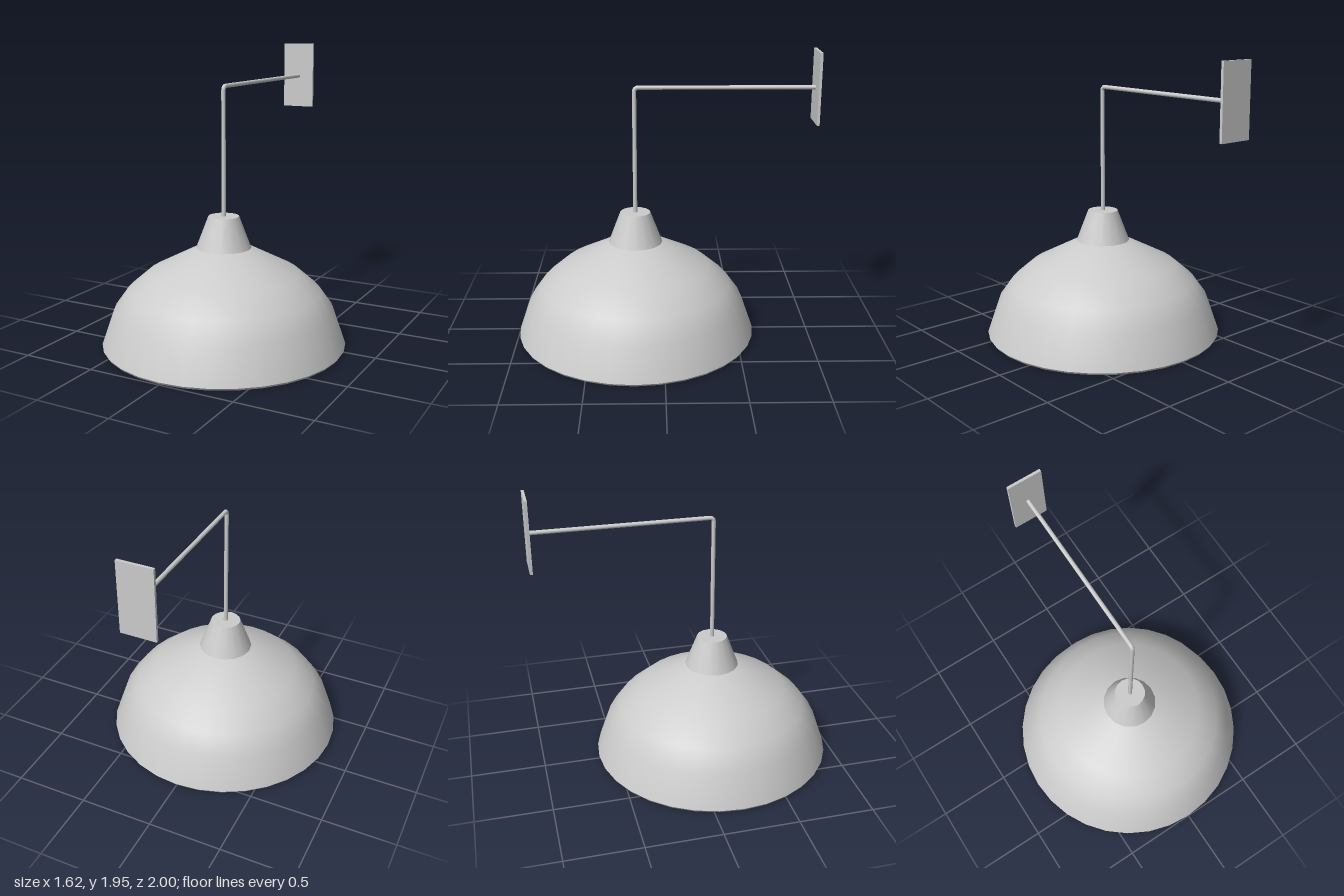
import * as THREE from 'three';

const SHADE_Z = 0.19; // axis of the hanging shade
const ROD_Y = 1.71;   // height of the horizontal arm
const ROD_R = 0.014;
const BEND = 0.025;

export function createModel() {
  const model = new THREE.Group();
  const grey = new THREE.MeshStandardMaterial({ color: 0xcccccc });

  const add = (parent, name, geometry, x = 0, y = 0, z = 0) => {
    const mesh = new THREE.Mesh(geometry, grey);
    mesh.name = name;
    mesh.position.set(x, y, z);
    parent.add(mesh);
    return mesh;
  };
  const lathe = (points, sides) =>
    new THREE.LatheGeometry(points.map(([r, y]) => new THREE.Vector2(r, y)), sides);

  // Shade: outer skin, rolled lip and inner skin
  const shade = new THREE.Group();
  shade.name = 'shade';
  shade.position.z = SHADE_Z;
  model.add(shade);
  add(shade, 'shadeOuter', lathe(
    [[0.81, 0.015], [0.73, 0.245], [0.64, 0.37], [0.5, 0.49], [0.18, 0.655], [0, 0.655]], 32));
  add(shade, 'shadeLip', lathe([[0.78, 0], [0.8, 0], [0.81, 0.015]], 32));
  add(shade, 'shadeInner', lathe(
    [[0, 0.632], [0.17, 0.632], [0.485, 0.47], [0.62, 0.353], [0.705, 0.235], [0.78, 0]], 32));

  // Tapered cap on top of the shade
  add(model, 'cap', new THREE.CylinderGeometry(0.102, 0.182, 0.21, 16), 0, 0.76, SHADE_Z);

  // Bulb and its socket under the cap
  add(model, 'bulb', new THREE.SphereGeometry(0.15, 24, 16), 0, 0.32, SHADE_Z);
  add(model, 'socket', new THREE.CylinderGeometry(0.07, 0.07, 0.2, 16), 0, 0.54, SHADE_Z);

  // Bent rod: vertical drop, elbow, arm to the wall
  const dropBottom = 0.85, dropTop = ROD_Y - BEND;
  add(model, 'dropRod', new THREE.CylinderGeometry(ROD_R, ROD_R, dropTop - dropBottom, 12),
    0, (dropTop + dropBottom) / 2, SHADE_Z);
  add(model, 'rodElbow', new THREE.TorusGeometry(BEND, ROD_R, 12, 6, Math.PI / 2),
    0, dropTop, SHADE_Z - BEND).rotation.y = -Math.PI / 2;
  const armFront = SHADE_Z - BEND, armBack = -0.985;
  add(model, 'wallArm', new THREE.CylinderGeometry(ROD_R, ROD_R, armFront - armBack, 12),
    0, ROD_Y, (armFront + armBack) / 2).rotation.x = Math.PI / 2;

  // Wall plate
  add(model, 'wallPlate', new THREE.BoxGeometry(0.232, 0.466, 0.018), 0, 1.715, -0.991);

  return model;
}
